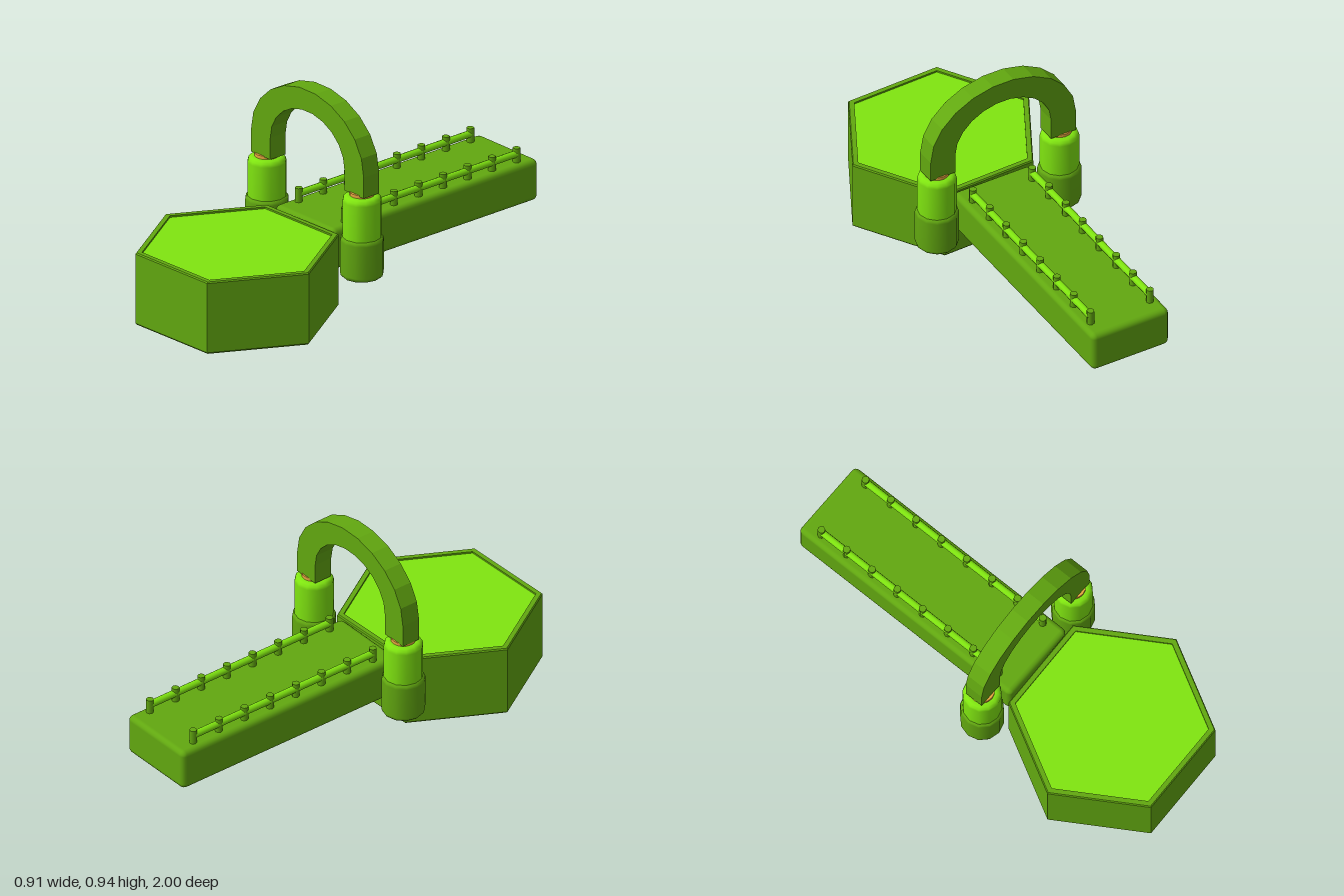
import * as THREE from 'three';
import { RoundedBoxGeometry } from 'three/addons/geometries/RoundedBoxGeometry.js';

const mat = (color, flatShading = false) => new THREE.MeshStandardMaterial({ color, flatShading });
const green = mat(0x62a810);
const greenFlat = mat(0x62a810, true);
const lime = mat(0x80e610);
const gold = mat(0xe8a840);

// Closed lathe cylinder with softened rims
function roundedCylinder(r, y0, y1, bevel) {
  const pts = [new THREE.Vector2(0, y0)];
  for (const [cy, start] of [[y0 + bevel, -Math.PI / 2], [y1 - bevel, 0]]) {
    for (let i = 0; i <= 3; i++) {
      const a = start + (i / 3) * Math.PI / 2;
      pts.push(new THREE.Vector2(r - bevel + bevel * Math.cos(a), cy + bevel * Math.sin(a)));
    }
  }
  pts.push(new THREE.Vector2(0, y1));
  return new THREE.LatheGeometry(pts, 12);
}

export function createModel() {
  const model = new THREE.Group();
  const add = (name, geometry, material, x = 0, y = 0, z = 0, parent = model) => {
    const mesh = new THREE.Mesh(geometry, material);
    mesh.name = name;
    mesh.position.set(x, y, z);
    parent.add(mesh);
    return mesh;
  };

  // Hexagonal base with a shallow recessed top panel
  const hexBase = new THREE.Group();
  hexBase.name = 'hexagonalBase';
  hexBase.position.set(0, 0, 0.602);
  hexBase.rotation.y = 0.028;
  model.add(hexBase);
  const R = 0.455, r = 0.425;
  const profile = [[0, 0], [R - 0.008, 0], [R, 0.008], [R, 0.335], [R - 0.005, 0.341], [r, 0.341], [r, 0.325]]
    .map(([x, y]) => new THREE.Vector2(x, y));
  add('hexagonalBody', new THREE.LatheGeometry(profile, 6, Math.PI / 6), greenFlat, 0, 0, 0, hexBase);
  add('topPanel', new THREE.CylinderGeometry(r, r, 0.01, 6, 1, false, Math.PI / 6), lime, 0, 0.328, 0, hexBase);

  // Long walkway
  add('walkway', new RoundedBoxGeometry(0.39, 0.193, 1.2, 2, 0.025), green, -0.014, 0.249, -0.4);

  // Railings: a rod threaded through a row of posts
  const postGeo = new THREE.CylinderGeometry(0.017, 0.017, 0.08, 8);
  const rodGeo = new THREE.CylinderGeometry(0.0165, 0.0165, 1.005, 8).rotateX(Math.PI / 2);
  for (const x of [-0.163, 0.138]) {
    const railing = new THREE.Group();
    railing.name = x < 0 ? 'rightRailing' : 'leftRailing';
    model.add(railing);
    add('rod', rodGeo, lime, x, 0.383, -0.408, railing);
    for (let i = 0; i < 8; i++) add('post', postGeo, green, x, 0.372, -0.907 + i * 0.1433, railing);
  }

  // Gate pillars: dark socket, bright sleeve and gold collar
  for (const [name, x, top] of [['rightPillar', -0.325, 0.526], ['leftPillar', 0.296, 0.536]]) {
    const pillar = new THREE.Group();
    pillar.name = name;
    pillar.position.set(x, 0, 0.137);
    model.add(pillar);
    add('socket', roundedCylinder(0.097, 0.15, 0.345, 0.022), green, 0, 0, 0, pillar);
    add('sleeve', roundedCylinder(0.087, 0.3, top, 0.027), lime, 0, 0, 0, pillar);
    add('collar', new THREE.CylinderGeometry(0.055, 0.055, 0.03, 16), gold, 0, top, 0, pillar);
  }

  // Faceted arch joining the pillars
  const arch = new THREE.Shape();
  const cx = -0.0125, steps = 11;
  const point = (a, b, y, i) => {
    const t = (i / steps) * Math.PI;
    return [cx + a * Math.cos(t), y + b * Math.sin(t)];
  };
  arch.moveTo(0.355, 0.545);
  for (let i = 0; i <= steps; i++) arch.lineTo(...point(0.3675, 0.298, 0.645, i));
  arch.lineTo(-0.38, 0.537);
  arch.lineTo(-0.255, 0.537);
  for (let i = steps; i >= 0; i--) arch.lineTo(...point(0.2425, 0.202, 0.64, i));
  arch.lineTo(0.23, 0.545);
  arch.closePath();
  add('arch', new THREE.ExtrudeGeometry(arch, { depth: 0.09, bevelEnabled: false }), greenFlat, 0, 0, 0.09);

  return model;
}
